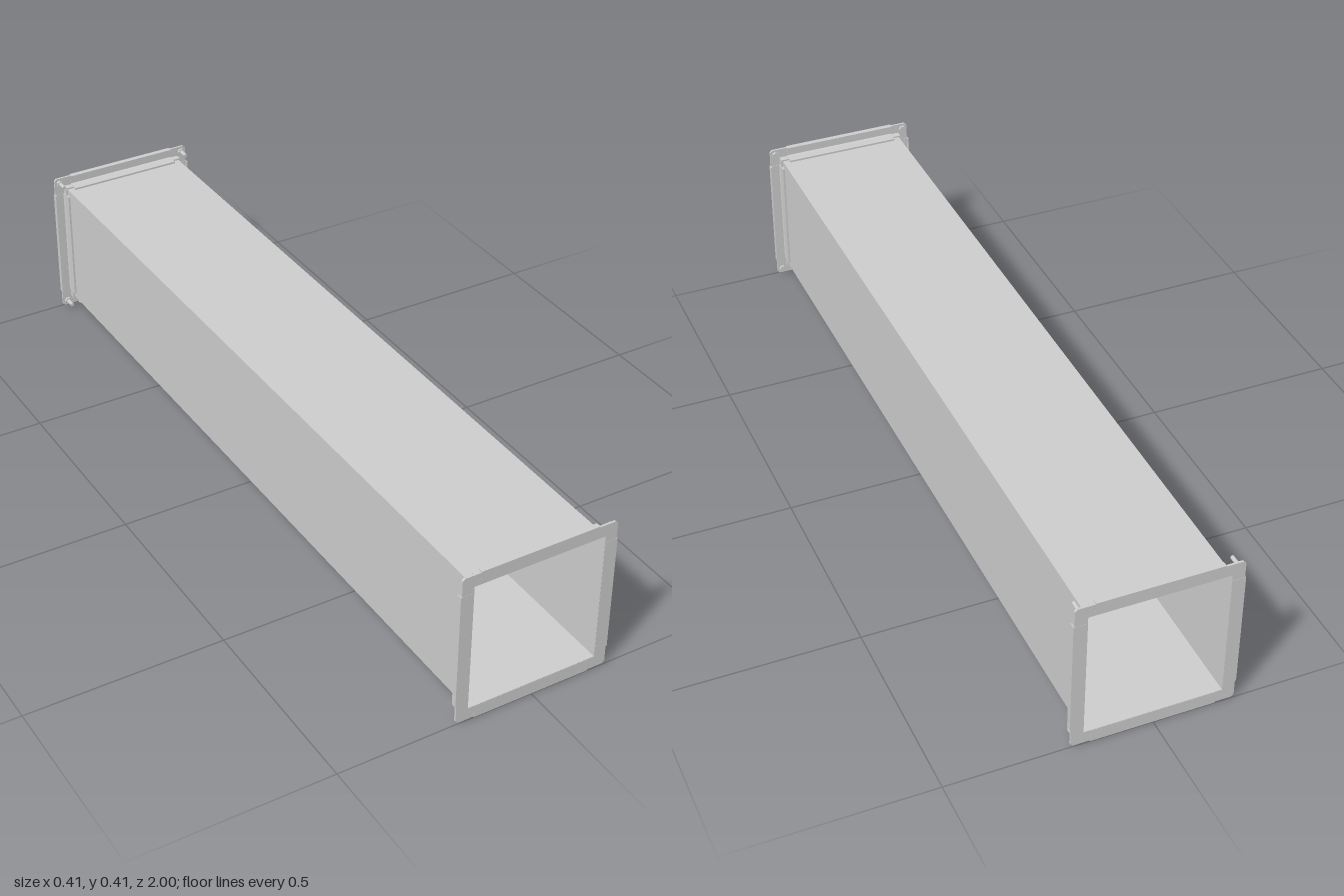
import * as THREE from 'three';

const MID = 0.202;     // height of the duct axis
const DUCT = 0.17;     // half width of the duct
const FLANGE = 0.2;    // half width of the end frames
const material = new THREE.MeshStandardMaterial({ color: 0xcccccc, flatShading: true });

function add(parent, name, geometry) {
  const mesh = new THREE.Mesh(geometry, material);
  mesh.name = name;
  parent.add(mesh);
  return mesh;
}

const polygon = (points) => new THREE.Shape(points.map(([x, y]) => new THREE.Vector2(x, y)));

// Square ring with chamfered outer corners, extruded from z0 to z1
function squareRing(outer, inner, chamfer, z0, z1) {
  const o = outer, c = outer - chamfer, i = inner;
  const outline = chamfer > 0
    ? [[c, -o], [o, -c], [o, c], [c, o], [-c, o], [-o, c], [-o, -c], [-c, -o]]
    : [[o, -o], [o, o], [-o, o], [-o, -o]];
  const shape = polygon(outline);
  shape.holes.push(polygon([[-i, -i], [-i, i], [i, i], [i, -i]]));
  return new THREE.ExtrudeGeometry(shape, { depth: z1 - z0, bevelEnabled: false }).translate(0, 0, z0);
}

// Rail section: upright face, short lip outside, long lip lying on the duct
function railGeometry() {
  const section = polygon([
    [1, 0.17], [1, 0.2025], [0.986, 0.2025], [0.986, 0.1995],
    [0.993, 0.1995], [0.993, 0.177], [0.988, 0.175], [0.965, 0.175], [0.965, 0.17],
  ]);
  const length = 0.305;
  return new THREE.ExtrudeGeometry(section, { depth: length, bevelEnabled: false })
    .translate(0, 0, -length / 2)
    .rotateY(-Math.PI / 2);
}

// One end frame facing +z: plate, four rails, four corner angles with fixings
function endFlange(name, withBolts) {
  const flange = new THREE.Group();
  flange.name = name;
  add(flange, 'framePlate', squareRing(FLANGE, DUCT, 0.006, 0.994, 0.9995));
  for (let k = 0; k < 4; k++) {
    const side = new THREE.Group();
    side.name = 'flangeSide';
    side.rotation.z = k * Math.PI / 2;
    flange.add(side);
    add(side, 'rail', railGeometry());

    // Corner angle hugging the duct edge
    const a = 0.153, b = 0.1705, t = 0.1745;
    const angle = polygon([[a, b], [b, b], [b, a], [t, a], [t, t], [a, t]]);
    add(side, 'cornerAngle', new THREE.ExtrudeGeometry(angle, { depth: 0.018, bevelEnabled: false })
      .translate(0, 0, 0.977));

    // Nut behind each corner, and a bolt shank at one end only
    const nut = add(side, 'cornerNut', new THREE.CylinderGeometry(0.009, 0.009, 0.007, 6).rotateX(Math.PI / 2));
    nut.position.set(0.186, 0.186, 0.991);
    if (withBolts) {
      const bolt = add(side, 'cornerBolt', new THREE.CylinderGeometry(0.005, 0.005, 0.032, 12).rotateX(Math.PI / 2));
      bolt.position.set(0.186, 0.186, 0.979);
    }
  }
  return flange;
}

export function createModel() {
  const model = new THREE.Group();
  model.name = 'ductSection';
  const body = new THREE.Group();
  body.name = 'duct';
  body.position.y = MID;
  model.add(body);

  // Thin-walled square tube, open at both ends
  add(body, 'ductWalls', squareRing(DUCT, DUCT - 0.001, 0, -0.9995, 0.9995));

  // Matching flanges at both ends
  body.add(endFlange('frontFlange', false));
  const back = endFlange('backFlange', true);
  back.rotation.y = Math.PI;
  body.add(back);
  return model;
}
